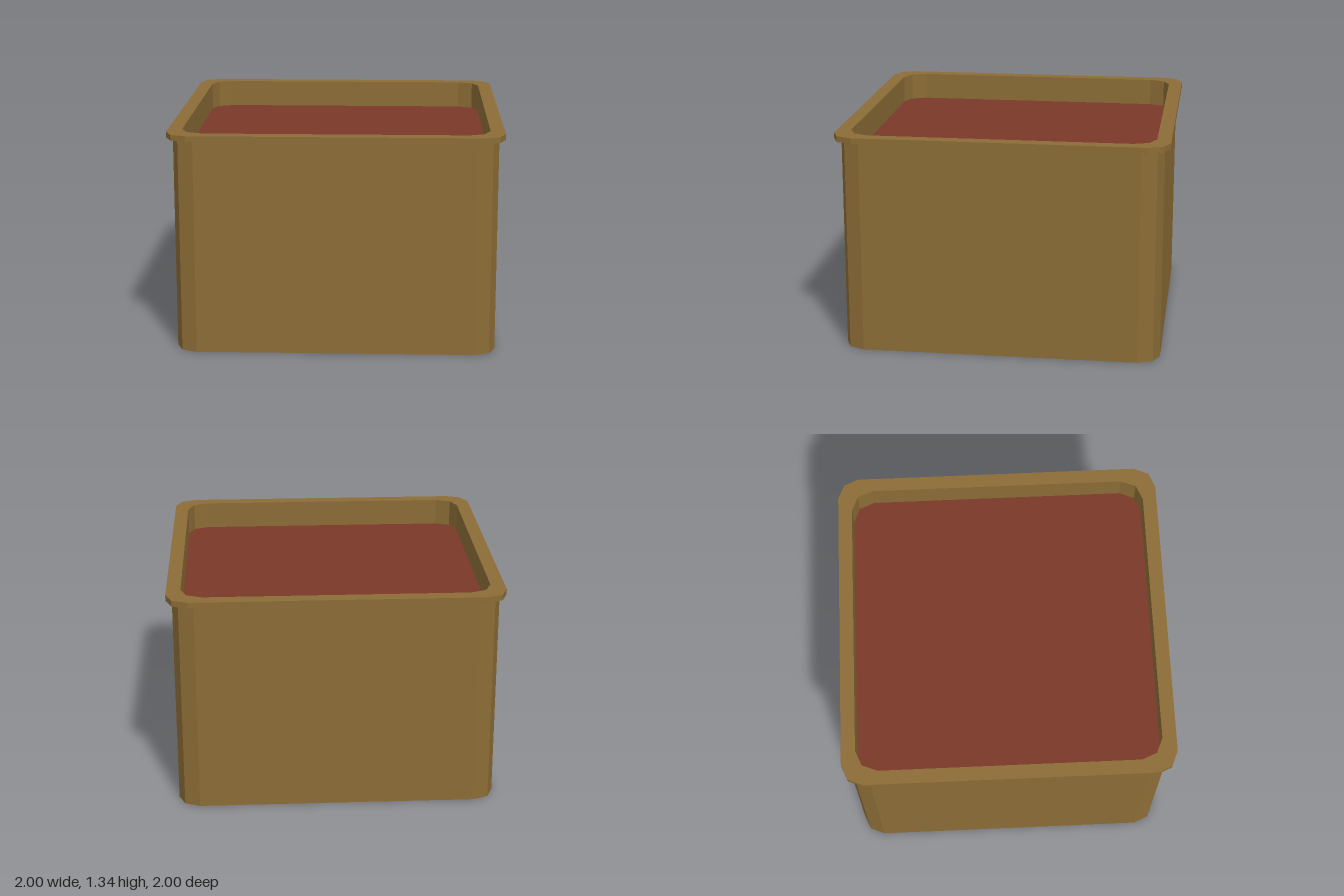
import * as THREE from 'three';

// Corner points of a square outline with chamfer-like round corners (two facets each)
function outline(half, radius) {
  const points = [];
  for (let corner = 0; corner < 4; corner++) {
    const middle = Math.PI / 4 + corner * Math.PI / 2;
    const cx = Math.sign(Math.cos(middle)) * (half - radius);
    const cy = Math.sign(Math.sin(middle)) * (half - radius);
    for (let k = 0; k <= 2; k++) {
      const a = (corner + k / 2) * Math.PI / 2;
      points.push(new THREE.Vector2(cx + radius * Math.cos(a), cy + radius * Math.sin(a)));
    }
  }
  return points;
}

// Joins a stack of [half width, height] outlines into one shell
function loft(profile, radius) {
  const positions = [], index = [];
  const n = 12;
  for (const [half, y] of profile) {
    for (const p of outline(half, radius)) positions.push(p.x, y, p.y);
  }
  for (let i = 0; i < profile.length - 1; i++) {
    for (let j = 0; j < n; j++) {
      const a = i * n + j, b = i * n + (j + 1) % n;
      index.push(a, a + n, b, b, a + n, b + n);
    }
  }
  const geometry = new THREE.BufferGeometry();
  geometry.setAttribute('position', new THREE.Float32BufferAttribute(positions, 3));
  geometry.setIndex(index);
  const flat = geometry.toNonIndexed();
  flat.computeVertexNormals();
  return flat;
}

export function createModel() {
  const group = new THREE.Group();
  group.name = 'planter';
  const clay = new THREE.MeshStandardMaterial({ color: 0x8b6c36, flatShading: true });
  const earth = new THREE.MeshStandardMaterial({ color: 0x7a3828, flatShading: true });
  const radius = 0.13, soilHeight = 1.165;

  const add = (name, geometry, material) => {
    const mesh = new THREE.Mesh(geometry, material);
    mesh.name = name;
    group.add(mesh);
    return mesh;
  };

  // Outer wall
  add('potWall', loft([[0.965, 0], [0.965, 1.3]], radius), clay);

  // Overhanging rim, continuing down the inside to the soil
  add('rim', loft([[0.965, 1.3], [1, 1.3], [1, 1.335], [0.915, 1.335], [0.915, soilHeight]], radius), clay);

  // Underside
  const base = new THREE.ShapeGeometry(new THREE.Shape(outline(0.965, radius)));
  add('base', base.rotateX(Math.PI / 2), clay);

  // Soil surface
  const soil = new THREE.ShapeGeometry(new THREE.Shape(outline(0.915, radius)));
  add('soil', soil.rotateX(-Math.PI / 2).translate(0, soilHeight, 0), earth);

  return group;
}
